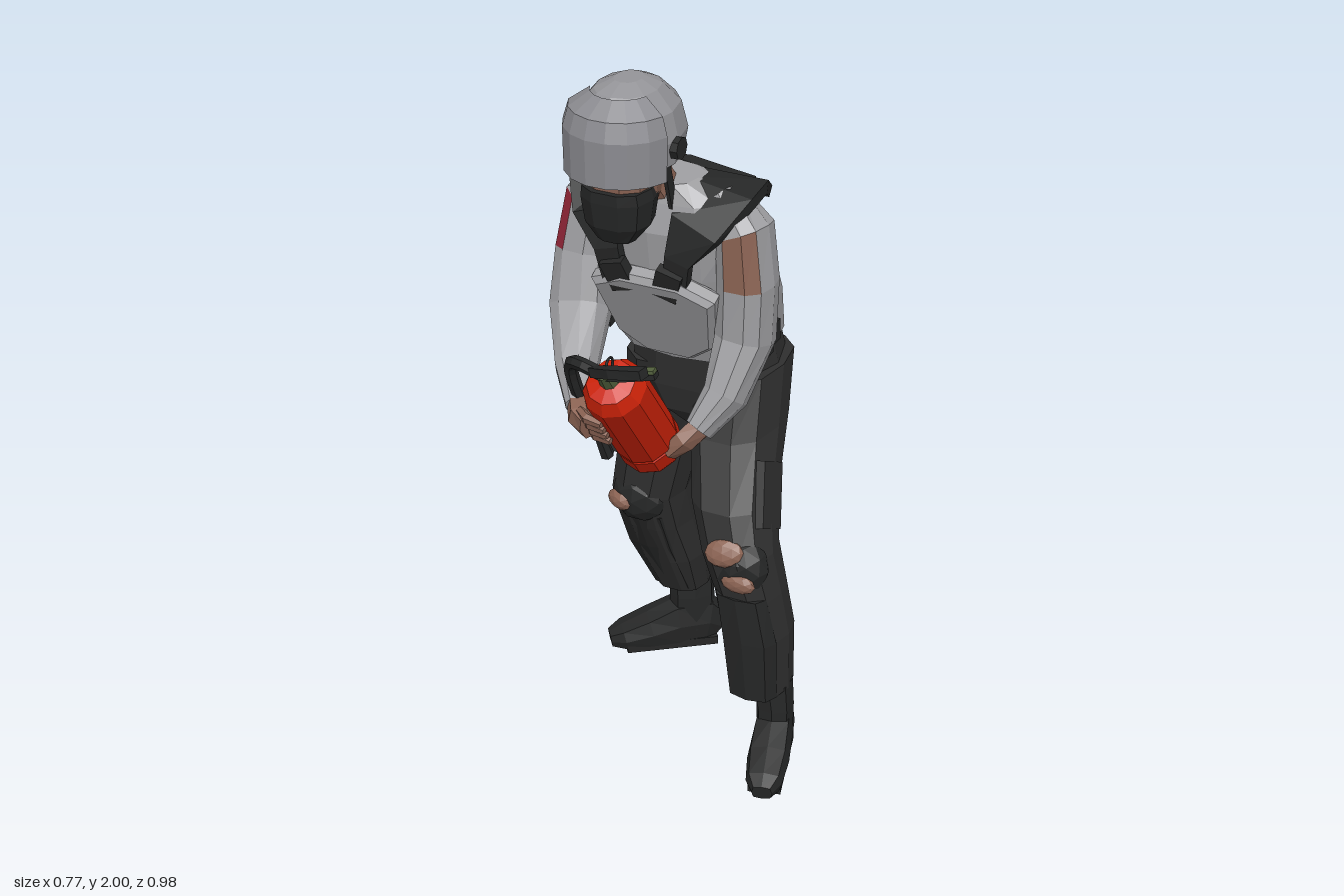
import * as THREE from 'three';

const mat = (name, color) => Object.assign(new THREE.MeshStandardMaterial({ color }), { name });
const shirt = mat('shirt grey', 0xa0a0a3), helmetGrey = mat('helmet grey', 0x949498);
const trousers = mat('trouser charcoal', 0x2f2f2f), black = mat('gear black', 0x262727);
const skin = mat('skin', 0x8c6454), red = mat('extinguisher red', 0xcc2208);
const crimson = mat('armband crimson', 0x98283a), brass = mat('valve green', 0x55633f);
const visorGrey = mat('visor grey', 0x8c8c91);
visorGrey.side = THREE.DoubleSide;

const V = (x, y, z) => new THREE.Vector3(x, y, z);

// Faceted skin through rings [x, y, z, halfWidth, halfDepth]; rings lie flat or follow the path (tilt).
// paint(row, side) true sends that cell to the second material.
function loft(rings, { n = 10, tilt = false, ref = V(1, 0, 0), pow = 0.8, phase = 0, paint = () => false } = {}) {
  const c = rings.map(r => V(r[0], r[1], r[2]));
  const loops = rings.map((r, i) => {
    const t = c[Math.min(i + 1, c.length - 1)].clone().sub(c[Math.max(i - 1, 0)]);
    if (!tilt) t.set(0, Math.sign(t.y), 0);
    t.normalize();
    const u = ref.clone().addScaledVector(t, -ref.dot(t)).normalize();
    const v = t.clone().cross(u);
    return Array.from({ length: n }, (_, j) => {
      const a = phase + j / n * Math.PI * 2, f = q => Math.sign(q) * Math.abs(q) ** pow;
      return c[i].clone().addScaledVector(u, f(Math.cos(a)) * r[3]).addScaledVector(v, f(Math.sin(a)) * (r[4] ?? r[3]));
    });
  });
  const out = [[], []], last = loops.length - 1;
  for (let j = 0; j < n; j++) {
    const k = (j + 1) % n;
    for (let i = 0; i < last; i++) {
      const [a, b, d, e] = [loops[i][j], loops[i][k], loops[i + 1][k], loops[i + 1][j]];
      out[paint(i, j) ? 1 : 0].push(a, b, d, a, d, e);
    }
    out[0].push(c[0], loops[0][k], loops[0][j], c[last], loops[last][j], loops[last][k]);
  }
  const g = new THREE.BufferGeometry().setFromPoints([...out[0], ...out[1]]);
  g.addGroup(0, out[0].length, 0);
  g.addGroup(out[0].length, out[1].length, 1);
  g.computeVertexNormals();
  return g;
}

const flat = g => {
  const f = g.index ? g.toNonIndexed() : g;
  f.computeVertexNormals();
  return f;
};
const lathe = (points, ...args) => flat(new THREE.LatheGeometry(points.map(p => new THREE.Vector2(...p)), ...args));

export function createModel() {
  const model = new THREE.Group();
  const add = (name, geo, m, parent = model) => {
    const mesh = new THREE.Mesh(geo, m);
    mesh.name = name;
    parent.add(mesh);
    return mesh;
  };
  const part = (name, rings, m, opts, parent) => add(name, loft(rings, opts), Array.isArray(m) ? m : [m, m], parent);
  const box = (name, m, size, pos, rot = [0, 0, 0], parent) => {
    const b = add(name, new THREE.BoxGeometry(...size), m, parent);
    b.position.set(...pos);
    b.rotation.set(...rot);
  };
  const strap = { n: 4, tilt: true, phase: Math.PI / 4, pow: 1 };

  // Trousers
  part('hips', [[-.02, .91, -.2, .05, .09], [-.02, .97, -.215, .16, .155], [-.025, 1.05, -.22, .21, .18], [-.025, 1.19, -.195, .19, .165]], trousers);
  part('leftLeg', [[.085, 1.1, -.21, .11, .16], [.1, .95, -.14, .115, .16], [.145, .79, -.02, .105, .13], [.19, .67, .04, .095, .11],
    [.22, .55, .035, .09, .1], [.24, .42, .025, .09, .1], [.25, .24, .02, .08, .09]], trousers);
  part('rightLeg', [[-.125, 1.1, -.225, .12, .17], [-.14, .95, -.25, .13, .155], [-.185, .79, -.25, .115, .125], [-.215, .62, -.235, .105, .11],
    [-.21, .5, -.28, .1, .11], [-.2, .36, -.335, .1, .1], [-.185, .23, -.38, .075, .08]], trousers);
  box('rightThighPocket', trousers, [.04, .18, .13], [-.28, .82, -.23], [0, 0, -.12]);
  box('leftThighPocket', trousers, [.03, .18, .13], [.235, .8, -.03], [-.5, 0, .2]);

  // Shin guards, knee pads and torn knees
  part('leftShinGuard', [[.25, .24, .075, .07, .05], [.24, .42, .085, .08, .05], [.22, .56, .1, .075, .04]], black, { n: 8 });
  part('rightShinGuard', [[-.19, .24, -.34, .07, .04], [-.215, .42, -.26, .085, .055], [-.22, .55, -.2, .085, .05]], black, { n: 8 });
  const blob = (name, m, pos, size, rot = [0, 0, 0]) => {
    const b = add(name, flat(new THREE.IcosahedronGeometry(1, 1)), m);
    b.position.set(...pos);
    b.scale.set(...size);
    b.rotation.set(...rot);
  };
  blob('leftKneePad', black, [.21, .64, .09], [.085, .09, .06]);
  blob('rightKneePad', black, [-.22, .61, -.17], [.085, .08, .055]);
  blob('leftKneeTear', skin, [.185, .695, .132], [.055, .04, .022], [-.4, .1, .2]);
  blob('leftLowerKneeTear', skin, [.23, .615, .14], [.05, .028, .018]);
  blob('rightKneeTear', skin, [-.265, .6, -.137], [.045, .03, .025], [0, -.4, 0]);

  // Boots
  for (const [side, x, z, yaw] of [['left', .28, -.005, .29], ['right', -.17, -.41, -.92]]) {
    const boot = new THREE.Group();
    boot.name = side + 'Boot';
    boot.position.set(x, 0, z);
    boot.rotation.y = yaw;
    model.add(boot);
    part('foot', [[0, .055, -.08, .035, .045], [0, .08, -.04, .05, .075], [0, .078, .05, .055, .073], [0, .06, .13, .058, .053],
      [0, .042, .21, .05, .037], [0, .035, .25, .028, .022]], black, { tilt: true, n: 8, pow: .6 }, boot);
    part('ankle', [[0, .06, 0, .05, .07], [0, .17, .005, .052, .066], [-.01, .25, .005, .058, .066]], black, { n: 8 }, boot);
    box('sole', black, [.09, .025, .27], [0, .015, .07], [0, 0, 0], boot);
  }

  // Jacket body, waist pocket and back panel
  part('torso', [[-.035, 1.165, -.19, .21, .185], [-.04, 1.3, -.145, .225, .2], [-.04, 1.45, -.08, .225, .19],
    [-.04, 1.58, -.025, .235, .155], [-.04, 1.66, -.005, .2, .12], [-.045, 1.71, .025, .1, .08]], shirt, { n: 12, pow: .75 });
  const bib = new THREE.Shape([[-.16, .09], [-.08, .13], [.08, .13], [.16, .09], [.13, -.08], [.06, -.14], [-.06, -.14], [-.13, -.08]]
    .map(p => new THREE.Vector2(...p)));
  const pocket = add('chestPocket', new THREE.ExtrudeGeometry(bib, { depth: .03, bevelSize: .015, bevelThickness: .015, bevelSegments: 1 }), shirt);
  pocket.position.set(-.03, 1.34, .05);
  pocket.rotation.x = .44;
  box('chestTear', skin, [.08, .055, .008], [-.07, 1.365, .107], [.44, 0, 0]);
  box('backPanel', shirt, [.22, .12, .008], [-.04, 1.515, -.225], [.6, 0, 0]);

  // Harness
  for (const [s, mid, wide] of [[1, 0, 1], [-1, -.1, .85]]) {
    const X = x => mid + s * x;
    part('shoulderPad', [[X(.035), 1.42, .115, .045, .02], [X(.05), 1.52, .13, .05, .02], [X(.09), 1.61, .115, .1 * wide, .022],
      [X(.12), 1.685, .035, .14 * wide, .025], [X(.12), 1.685, -.05, .13 * wide, .025], [X(.12), 1.65, -.1, .11 * wide, .022]], black, strap);
    box('strapBuckle', black, [.07, .09, .03], [X(.02), 1.45, .13], [.3, 0, s * -.3]);
  }
  part('rearYoke', [[-.2, 1.65, -.112, .028, .025], [-.04, 1.68, -.1, .028, .025], [.14, 1.65, -.112, .028, .025]], black, { ...strap, ref: V(0, 0, 1) });
  for (const x of [.19, -.265]) {
    box('sideHolster', black, [.03, .22, .055], [x, 1.29, -.08], [.1, 0, 0]);
    box('sideHolsterStrap', black, [.035, .06, .13], [x, 1.235, -.09]);
  }

  // Arms, with the armband and the torn sleeve as painted cells
  part('rightArm', [[-.17, 1.645, 0, .06, .075], [-.25, 1.59, .01, .075, .08], [-.268, 1.45, .03, .075, .08], [-.26, 1.3, .08, .08, .08],
    [-.2, 1.2, .22, .055, .06], [-.145, 1.145, .31, .035, .04]], [shirt, crimson],
    { tilt: true, paint: (i, j) => i === 1 && j >= 3 && j <= 5 });
  part('leftArm', [[.11, 1.65, 0, .06, .075], [.185, 1.59, .025, .07, .085], [.195, 1.45, .025, .075, .085], [.19, 1.29, .025, .075, .085],
    [.17, 1.15, .1, .055, .07], [.125, 1.07, .165, .035, .045]], [shirt, skin],
    { tilt: true, paint: (i, j) => i === 1 && (j === 1 || j === 2) });

  // Hands
  part('rightHand', [[-.155, 1.155, .295, .03, .035], [-.12, 1.135, .345, .035, .045], [-.09, 1.125, .37, .02, .04]], skin, { tilt: true, n: 6 });
  for (let i = 0; i < 4; i++) {
    const y = 1.165 - i * .024, z = .39 - i * .016;
    part('rightFinger', [[-.115, y, z - .03, .012], [-.08, y, z, .014], [-.035, y - .005, z + .005, .01]], skin, { tilt: true, n: 5, ref: V(0, 1, 0) });
  }
  part('leftHand', [[.13, 1.08, .16, .03, .04], [.1, 1.045, .19, .03, .045], [.06, 1.01, .2, .025, .035]], skin, { tilt: true, n: 6 });

  // Neck, head and face mask
  part('neck', [[-.05, 1.65, .04, .075, .07], [-.065, 1.73, .09, .07, .065], [-.08, 1.82, .12, .08, .08]], skin, { n: 8 });
  part('head', [[-.08, 1.64, .17, .06, .07], [-.08, 1.7, .165, .085, .1], [-.08, 1.79, .16, .095, .115], [-.08, 1.86, .15, .09, .11]], skin);
  part('faceMask', [[-.08, 1.595, .21, .05, .04], [-.08, 1.64, .195, .085, .08], [-.08, 1.71, .195, .095, .09], [-.08, 1.74, .2, .09, .085]], black);
  for (const s of [1, -1]) box('chinStrap', black, [.01, .16, .03], [-.08 + s * .098, 1.73, .12], [.3, 0, 0]);

  // Helmet with hinged visor
  part('helmet', [[-.08, 1.795, .15, .13, .15], [-.08, 1.86, .145, .138, .165], [-.08, 1.93, .145, .122, .148],
    [-.08, 1.98, .145, .08, .095], [-.08, 2, .14, .035, .045]], helmetGrey, { n: 12, pow: .9 });
  const visor = add('visor', lathe([[.148, -.09], [.15, .03], [.135, .08], [.08, .118]], 7, -1.3, 2.6), visorGrey);
  visor.position.set(-.08, 1.865, .178);
  for (const s of [1, -1]) {
    const hub = add('visorHinge', flat(new THREE.CylinderGeometry(.03, .03, .02, 8)), black);
    hub.position.set(-.08 + s * .14, 1.84, .15);
    hub.rotation.z = Math.PI / 2;
  }

  // Fire extinguisher
  const ext = new THREE.Group();
  ext.name = 'fireExtinguisher';
  ext.position.set(-.01, 1.135, .275);
  ext.rotation.x = .654;
  model.add(ext);
  add('tank', lathe([[0, -.19], [.078, -.19], [.085, -.175], [.085, -.125], [.08, -.12], [.085, -.115],
    [.085, .155], [.065, .19], [.025, .2], [0, .2]], 10), red, ext);
  add('valve', flat(new THREE.CylinderGeometry(.022, .028, .06, 8)), brass, ext).position.y = .215;
  const pin = add('safetyPin', new THREE.TorusGeometry(.018, .004, 4, 10), black, ext);
  pin.position.set(.01, .255, -.02);
  pin.rotation.y = Math.PI / 2;
  const handle = { ...strap, ref: V(0, 1, 0) };
  part('lowerHandle', [[-.03, 1.325, .42, .014, .016], [.04, 1.335, .42, .014, .018], [.125, 1.355, .41, .012, .017]], brass, handle);
  part('lowerHandleGrip', [[-.02, 1.317, .42, .012, .02], [.04, 1.327, .42, .012, .022], [.128, 1.347, .41, .01, .021]], black, handle);
  part('upperLever', [[-.04, 1.325, .425, .018, .018], [.03, 1.355, .46, .018, .022], [.125, 1.38, .472, .018, .024]], black, handle);
  const hose = new THREE.CatmullRomCurve3([V(-.02, 1.32, .42), V(-.09, 1.33, .41), V(-.14, 1.29, .36), V(-.145, 1.2, .32), V(-.13, 1.1, .27)]);
  add('hose', flat(new THREE.TubeGeometry(hose, 14, .018, 6)), black);
  part('nozzle', [[-.13, 1.11, .275, .015], [-.125, 1.03, .24, .014], [-.115, .96, .215, .018]], black, { tilt: true, n: 6 });

  return model;
}
